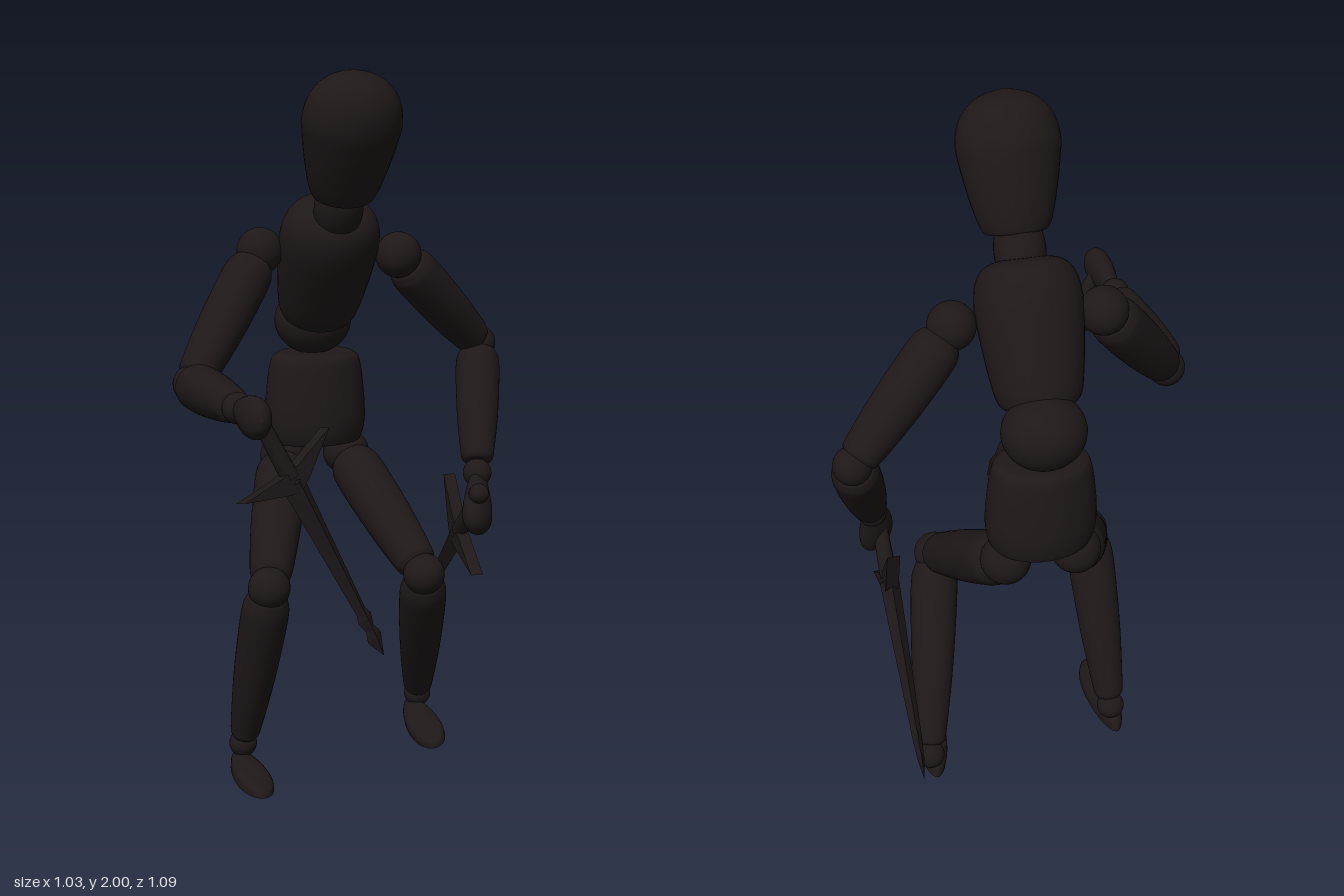
import * as THREE from 'three';

const V = (p) => new THREE.Vector3(...p);
const UP = new THREE.Vector3(0, 1, 0);
const mat = new THREE.MeshStandardMaterial({ color: 0x1f1819 });

export function createModel() {
  const root = new THREE.Group();

  function add(parent, name, geometry) {
    const mesh = new THREE.Mesh(geometry, mat);
    mesh.name = name;
    parent.add(mesh);
    return mesh;
  }

  // Turned wooden part running from a to b; rows are [fraction of length, radius]
  function turned(name, a, b, rows, sx = 1, sz = 1) {
    const dir = V(b).sub(V(a)), len = dir.length();
    const curve = new THREE.SplineCurve(rows.map(([t, r]) => new THREE.Vector2(r, t * len)));
    const pts = curve.getPoints(rows.length * 5);
    pts.forEach((p) => {
      p.x = Math.max(p.x, 0);
      p.y = THREE.MathUtils.clamp(p.y, 0, len);
    });
    const mesh = add(root, name, new THREE.LatheGeometry(pts, 32));
    mesh.position.copy(V(a));
    mesh.quaternion.setFromUnitVectors(UP, dir.normalize());
    mesh.scale.set(sx, 1, sz);
  }

  function ball(name, p, r, s = [1, 1, 1]) {
    const mesh = add(root, name, new THREE.SphereGeometry(r, 28, 20));
    mesh.position.copy(V(p));
    mesh.scale.set(...s);
  }

  // Limb with blunt rounded ends: r0 near the start, r1 near the end
  function limb(name, a, b, r0, r1) {
    const mid = (r0 + r1) / 2 + 0.004;
    turned(name, a, b, [[0, 0], [0.01, r0 * 0.65], [0.05, r0 * 0.88], [0.16, r0],
      [0.55, mid], [0.9, r1], [0.98, r1 * 0.85], [1, r1 * 0.5], [1, 0]]);
  }

  // Head and neck
  turned('head', [-0.035, 1.655, -0.05], [-0.035, 1.992, 0.095],
    [[0, 0], [0.005, 0.066], [0.04, 0.09], [0.25, 0.113], [0.5, 0.131], [0.66, 0.136],
      [0.83, 0.117], [0.95, 0.07], [1, 0]], 1, 0.86);
  turned('neck', [-0.036, 1.55, -0.115], [-0.036, 1.685, -0.05],
    [[0, 0], [0.03, 0.04], [0.25, 0.062], [0.55, 0.068], [0.85, 0.06], [1, 0.04], [1, 0]]);

  // Torso
  turned('chest', [-0.032, 1.285, -0.32], [-0.035, 1.62, -0.12],
    [[0, 0], [0.01, 0.075], [0.07, 0.108], [0.25, 0.124], [0.55, 0.138], [0.75, 0.141],
      [0.89, 0.128], [0.97, 0.1], [1, 0.055], [1, 0]], 1, 0.9);
  ball('waistBall', [-0.022, 1.265, -0.388], 0.104, [1.08, 0.96, 1]);
  turned('pelvis', [-0.02, 0.91, -0.377], [-0.02, 1.175, -0.373],
    [[0, 0], [0, 0.115], [0.04, 0.138], [0.25, 0.149], [0.6, 0.144], [0.9, 0.132],
      [0.98, 0.115], [1, 0.09], [1, 0]], 1, 0.77);

  const mix = (a, b, t) => V(a).lerp(V(b), t).toArray();

  // Legs
  const legs = [
    { side: 'left', hip: [0.077, 0.865, -0.385], knee: [0.185, 0.59, 0.015], ankle: [0.278, 0.115, -0.305] },
    { side: 'right', hip: [-0.115, 0.865, -0.385], knee: [-0.268, 0.59, 0.015], ankle: [-0.298, 0.065, -0.185] },
  ];
  for (const { side, hip, knee, ankle } of legs) {
    ball(side + 'HipBall', hip, 0.068);
    limb(side + 'Thigh', mix(hip, knee, 0.05), mix(hip, knee, 0.94), 0.075, 0.061);
    ball(side + 'KneeBall', knee, 0.059);
    limb(side + 'Shin', mix(knee, ankle, 0.03), mix(knee, ankle, 0.95), 0.067, 0.046);
    ball(side + 'AnkleBall', ankle, 0.04);
  }

  // Foot: flat-soled dome, narrow and tall at the heel, wide and low at the toes
  function foot(name, center, rotation) {
    const geo = new THREE.SphereGeometry(1, 32, 20);
    const pos = geo.attributes.position;
    for (let i = 0; i < pos.count; i++) {
      const z = pos.getZ(i);
      pos.setXYZ(i, pos.getX(i) * (0.049 + 0.01 * z),
        Math.sqrt(Math.max(pos.getY(i), 0)) * (0.038 - 0.008 * z), z * 0.16);
    }
    geo.computeVertexNormals();
    const mesh = add(root, name, geo);
    mesh.position.set(...center);
    mesh.rotation.set(...rotation);
  }
  foot('rightFoot', [-0.305, 0, -0.077], [0, 0, 0]);
  foot('leftFoot', [0.257, 0.052, -0.19], [0.06, -0.08, 0.25]);

  // Arms
  const arms = [
    { side: 'left', shoulder: [0.165, 1.475, -0.165], elbow: [0.46, 1.185, -0.305], wrist: [0.378, 0.848, -0.08] },
    { side: 'right', shoulder: [-0.223, 1.495, -0.22], elbow: [-0.462, 1.165, -0.045], wrist: [-0.432, 1.175, 0.342] },
  ];
  for (const { side, shoulder, elbow, wrist } of arms) {
    ball(side + 'ShoulderBall', shoulder, 0.065);
    limb(side + 'UpperArm', mix(shoulder, elbow, 0.08), mix(shoulder, elbow, 0.96), 0.069, 0.056);
    ball(side + 'ElbowBall', elbow, 0.052);
    limb(side + 'Forearm', mix(elbow, wrist, 0.05), mix(elbow, wrist, 0.92), 0.064, 0.049);
    ball(side + 'WristBall', wrist, 0.041);
  }

  // Closed hands
  const fist = [[0, 0], [0.04, 0.022], [0.25, 0.036], [0.55, 0.047], [0.8, 0.045], [0.95, 0.026], [1, 0]];
  turned('rightHand', [-0.432, 1.175, 0.355], [-0.42, 1.18, 0.547], fist, 0.8, 1.12);
  turned('leftHand', [0.377, 0.85, -0.07], [0.35, 0.685, -0.002], fist, 0.8, 1.3);

  // Four-sided lofted bar along y; rows are [y, half width, half thickness]
  function loft(rows) {
    const ring = ([y, w, d]) => [[w, y, 0], [0, y, d], [-w, y, 0], [0, y, -d]];
    const verts = [];
    for (let i = 0; i < rows.length - 1; i++) {
      const a = ring(rows[i]), b = ring(rows[i + 1]);
      for (let k = 0; k < 4; k++) {
        const n = (k + 1) % 4;
        verts.push(...a[k], ...b[n], ...a[n], ...a[k], ...b[k], ...b[n]);
      }
    }
    const geo = new THREE.BufferGeometry();
    geo.setAttribute('position', new THREE.Float32BufferAttribute(verts, 3));
    geo.computeVertexNormals();
    return geo;
  }

  // Dagger: origin at the guard, blade along +y, guard arms along x
  function dagger(name, center, tip, guardDir) {
    const g = new THREE.Group();
    g.name = name;
    const y = V(tip).sub(V(center)), len = y.length();
    y.normalize();
    const z = V(guardDir).cross(y).normalize();
    const x = y.clone().cross(z);
    g.quaternion.setFromRotationMatrix(new THREE.Matrix4().makeBasis(x, y, z));
    g.position.copy(V(center));

    // Blade with a barbed point
    add(g, 'blade', loft([[-0.03, 0, 0], [0, 0.04, 0.027], [0.14, 0.034, 0.025],
      [0.74, 0.018, 0.014], [0.78, 0.027, 0.014], [0.84, 0.016, 0.011],
      [0.89, 0.027, 0.01], [1, 0, 0]].map(([t, w, d]) => [t * len, w, d])));

    // Swept guard with pointed arms
    const s = new THREE.Shape();
    s.moveTo(-0.17, -0.052);
    s.lineTo(-0.03, -0.033);
    s.lineTo(0.03, -0.033);
    s.lineTo(0.17, -0.052);
    s.lineTo(0.04, 0.015);
    s.lineTo(0, 0.03);
    s.lineTo(-0.04, 0.015);
    s.closePath();
    const guard = new THREE.ExtrudeGeometry(s, { depth: 0.036, bevelEnabled: false });
    add(g, 'guard', guard.translate(0, 0, -0.018));

    // Grip and pommel
    add(g, 'grip', new THREE.CylinderGeometry(0.024, 0.02, 0.2, 12)).position.y = -0.115;
    add(g, 'pommel', new THREE.SphereGeometry(0.029, 16, 12)).position.y = -0.222;
    root.add(g);
  }
  dagger('rightDagger', [-0.32, 1.0, 0.45], [-0.07, 0.51, 0.43], [0.265, 0.14, -0.16]);
  dagger('leftDagger', [0.35, 0.652, -0.155], [0.345, 0.265, -0.546], [0, 0.7, -0.7]);

  return root;
}
